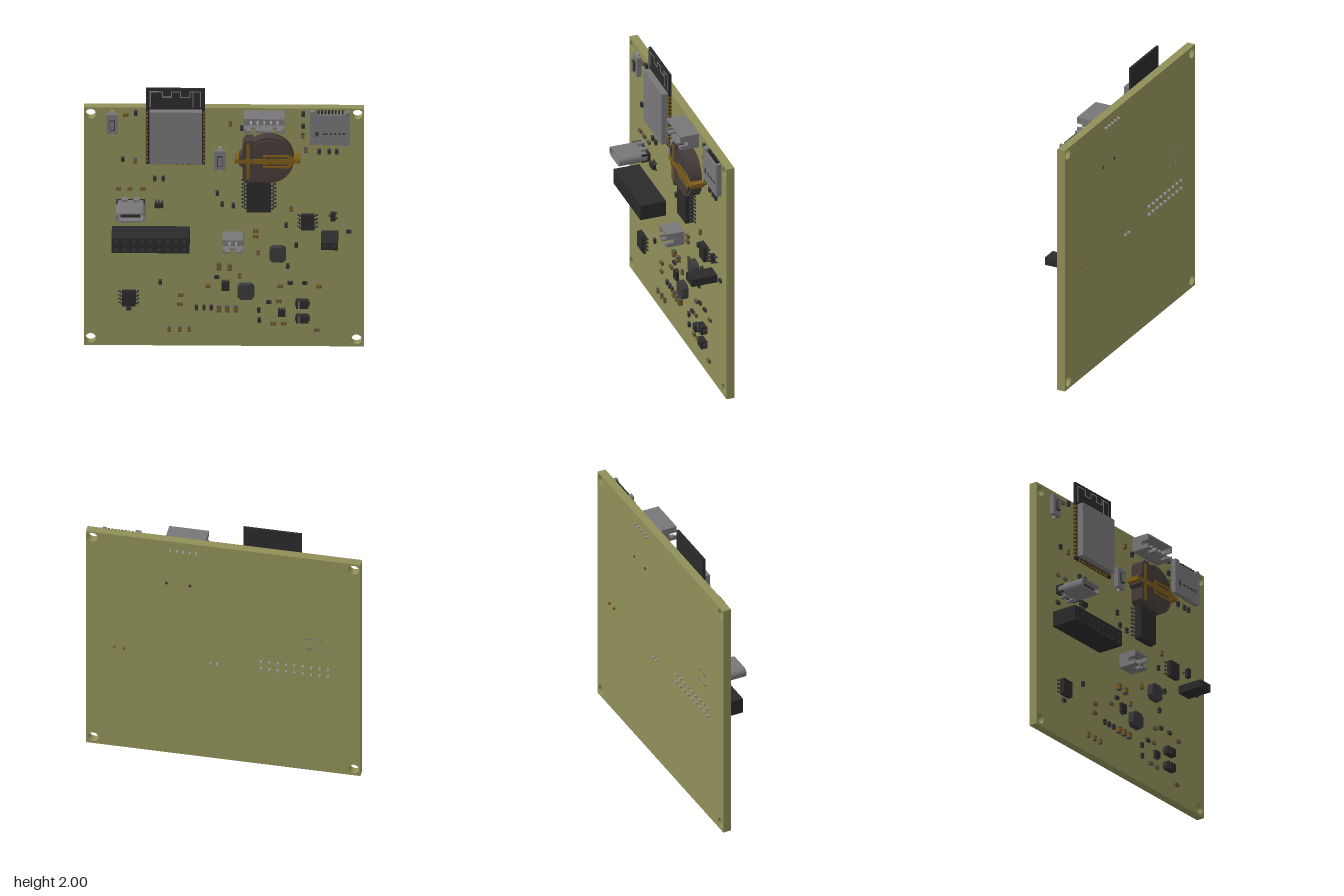
import * as THREE from 'three';
import { mergeGeometries } from 'three/addons/utils/BufferGeometryUtils.js';

const FRONT = -0.075, BACK = -0.135;   // board faces
const paint = {};
const mat = (c) => (paint[c] ??= new THREE.MeshStandardMaterial({ color: c, flatShading: true, side: THREE.DoubleSide }));
const OLIVE = 0x8f8f59, BLACK = 0x2a2a2a, DARK = 0x3a3a3c, GREY = 0x77777a, GOLD = 0x7d5c18, BROWN = 0x453c38, PALE = 0x9a9a9a;

// box centred on x, y and spanning z0..z1
const box = (x, y, w, h, z0, z1) => new THREE.BoxGeometry(w, h, z1 - z0).translate(x, y, (z0 + z1) / 2);

function prism(shape, z0, z1, curveSegments = 12) {
  return new THREE.ExtrudeGeometry(shape, { depth: z1 - z0, bevelEnabled: false, curveSegments }).translate(0, 0, z0);
}
const poly = (pts) => new THREE.Shape(pts.map(([x, y]) => new THREE.Vector2(x, y)));

// rectangle with rounded corners
function slot(S, x, y, w, h, r) {
  const s = new S(), a = w / 2 - r, b = h / 2 - r;
  s.absarc(x + a, y + b, r, 0, Math.PI / 2);
  s.absarc(x - a, y + b, r, Math.PI / 2, Math.PI);
  s.absarc(x - a, y - b, r, Math.PI, Math.PI * 1.5);
  s.absarc(x + a, y - b, r, Math.PI * 1.5, Math.PI * 2);
  s.closePath();
  return s;
}

export function createModel() {
  const model = new THREE.Group();
  const part = (name, color, geos, parent = model) => {
    const list = [].concat(geos).map((g) => (g.index ? g.toNonIndexed() : g));
    const mesh = new THREE.Mesh(mergeGeometries(list), mat(color));
    mesh.name = name;
    parent.add(mesh);
  };
  const group = (name) => {
    const g = new THREE.Group();
    g.name = name;
    model.add(g);
    return g;
  };

  // board with four mounting holes
  const outline = poly([[-0.97, 0], [0.97, 0], [0.97, 1.845], [-0.97, 1.845]]);
  for (const [x, y] of [[-0.923, 1.795], [0.925, 1.8], [-0.923, 0.055], [0.917, 0.055]]) {
    const hole = new THREE.Path();
    hole.absarc(x, y, 0.037, 0, Math.PI * 2, true);
    outline.holes.push(hole);
  }
  part('circuitBoard', OLIVE, prism(outline, BACK, FRONT, 20));

  // radio module: carrier, shield, edge pads and meander antenna
  const radio = group('radioModule');
  part('carrier', BLACK, box(-0.335, 1.708, 0.41, 0.585, FRONT, -0.058), radio);
  part('shield', GREY, box(-0.333, 1.64, 0.365, 0.4, -0.058, -0.01), radio);
  const pads = [];
  for (let i = 0; i < 14; i++) for (const x of [-0.535, -0.135]) pads.push(box(x, 1.44 + i * 0.029, 0.017, 0.015, FRONT, -0.055));
  for (let i = 0; i < 10; i++) pads.push(box(-0.49 + i * 0.034, 1.421, 0.017, 0.017, FRONT, -0.055));
  part('edgePads', GOLD, pads, radio);
  const trace = [[-0.51, 1.86], [-0.51, 1.977], [-0.425, 1.977], [-0.425, 1.935], [-0.362, 1.935], [-0.362, 1.977], [-0.3, 1.977],
    [-0.3, 1.935], [-0.235, 1.935], [-0.235, 1.977], [-0.162, 1.977], [-0.162, 1.86]];
  const segs = trace.slice(1).map(([x, y], i) => {
    const [px, py] = trace[i];
    return box((x + px) / 2, (y + py) / 2, Math.abs(x - px) + 0.008, Math.abs(y - py) + 0.008, -0.06, -0.056);
  });
  segs.push(box(-0.215, 1.918, 0.008, 0.118, -0.06, -0.056));
  part('antenna', GREY, segs, radio);

  // push buttons
  for (const [x, y] of [[-0.773, 1.728], [-0.028, 1.45]]) {
    const b = group('pushButton');
    part('buttonBody', GREY, box(x, y, 0.082, 0.148, FRONT, -0.042), b);
    part('buttonLeads', PALE, box(x, y, 0.02, 0.19, FRONT, -0.062), b);
    part('buttonCap', DARK, box(x, y, 0.036, 0.075, -0.042, -0.022), b);
    part('buttonTop', GREY, box(x, y, 0.028, 0.065, -0.022, -0.02), b);
  }

  // shrouded wire connectors with notched end walls
  function wireConnector(x, y, w, h, pins, pitch) {
    const g = group('wireConnector'), t = 0.013, top = 0.06;
    const walls = [box(x, y, w, h, FRONT, -0.03), box(x, y + h / 2 - t / 2, w, t, -0.03, top)];
    for (const s of [-1, 1]) {
      const ex = x + s * (w / 2 - t / 2);
      walls.push(box(ex, y, t, h, -0.03, 0.005), box(ex, y + h * 0.28, t, h * 0.44, 0.005, top), box(ex, y - h * 0.36, t, h * 0.28, 0.005, top));
      walls.push(box(x + s * (w / 2 - 0.025), y - h / 2 + t / 2, 0.05, t, -0.03, top));
    }
    walls.push(box(x, y - h / 2 + t / 2, w, t, -0.03, 0.005));
    if (pins > 2) walls.push(box(x, y - h / 2 + t / 2, w - 0.16, t, 0, top));
    part('shroud', GREY, walls, g);
    const rods = [];
    for (let i = 0; i < pins; i++) rods.push(box(x + (i - (pins - 1) / 2) * pitch, y - 0.004, 0.012, 0.012, -0.155, 0.03));
    part('pins', PALE, rods, g);
  }
  wireConnector(0.28, 1.775, 0.28, 0.106, 5, 0.046);
  wireConnector(0.063, 0.835, 0.142, 0.104, 2, 0.046);

  // memory card slot
  const card = group('cardSlot');
  part('cardShell', GREY, prism(poly([[0.595, 1.58], [0.715, 1.58], [0.73, 1.575], [0.868, 1.575], [0.868, 1.83], [0.845, 1.83], [0.835, 1.81],
    [0.645, 1.81], [0.635, 1.835], [0.595, 1.835]]), FRONT, -0.04), card);
  part('cardContacts', BLACK, Array.from({ length: 8 }, (_, i) => box(0.655 + i * 0.024, 1.818, 0.012, 0.032, FRONT, -0.055)), card);
  part('cardSprings', DARK, [box(0.645, 1.665, 0.018, 0.035, -0.041, -0.037), box(0.70, 1.665, 0.035, 0.01, -0.041, -0.037),
    box(0.74, 1.665, 0.012, 0.018, -0.041, -0.037), ...[0, 1, 2].map((i) => box(0.77 + i * 0.03, 1.667, 0.015, 0.015, -0.041, -0.037))], card);

  // coin cell holder with gold spring clips
  const cell = group('coinCellHolder');
  part('cellBody', BROWN, [
    new THREE.CylinderGeometry(0.175, 0.175, 0.08, 40).rotateX(Math.PI / 2).translate(0.31, 1.48, -0.035),
    new THREE.CylinderGeometry(0.155, 0.155, 0.015, 40).rotateX(Math.PI / 2).translate(0.31, 1.48, 0.0125),
    prism(poly([[0.155, 1.315], [0.205, 1.315], [0.205, 1.64], [0.155, 1.64], [0.13, 1.61], [0.13, 1.53], [0.105, 1.51],
      [0.105, 1.45], [0.13, 1.43], [0.13, 1.34]]), FRONT, 0.02),
  ], cell);
  const clip = poly([[0.2, 1.462], [0.27, 1.462], [0.27, 1.43], [0.45, 1.43], [0.49, 1.465], [0.53, 1.472], [0.53, 1.488], [0.49, 1.495],
    [0.45, 1.53], [0.27, 1.53], [0.27, 1.498], [0.2, 1.498]]);
  clip.holes.push(new THREE.Path([[0.29, 1.445], [0.44, 1.445], [0.44, 1.46], [0.29, 1.46]].map((p) => new THREE.Vector2(...p))),
    new THREE.Path([[0.29, 1.5], [0.44, 1.5], [0.44, 1.515], [0.29, 1.515]].map((p) => new THREE.Vector2(...p))));
  part('cellClips', GOLD, [prism(clip, 0.016, 0.024), box(0.167, 1.48, 0.022, 0.28, 0.015, 0.024),
    box(0.135, 1.48, 0.12, 0.03, 0, 0.024), box(0.09, 1.48, 0.03, 0.03, FRONT, 0.01), box(0.505, 1.48, 0.05, 0.03, FRONT, 0.02)], cell);
  part('cellPosts', BROWN, [0.235, 0.4].map((x) => new THREE.CylinderGeometry(0.011, 0.011, 0.07, 12).rotateX(Math.PI / 2).translate(x, 1.48, -0.103)), cell);

  // chips with gull-wing leads; leads leave the left/right sides, or top/bottom when upright
  function chip(x, y, w, h, z, n, pitch, reach, upright = false, other = n) {
    const g = group('chip'), leads = [], mid = (FRONT + z) / 2;
    part('chipBody', BLACK, box(x, y, w, h, FRONT + 0.006, z), g);
    for (const s of [-1, 1]) {
      const count = s > 0 ? n : other, half = (upright ? h : w) / 2;
      for (let i = 0; i < count; i++) {
        const o = (i - (count - 1) / 2) * (count < n ? pitch * 2 : pitch);
        const bits = [[half + reach * 0.2, reach * 0.4, mid - 0.003, mid + 0.004], [half + reach * 0.4, reach * 0.2, FRONT, mid + 0.004],
          [half + reach * 0.7, reach * 0.6, FRONT, FRONT + 0.008]];
        for (const [d, l, z0, z1] of bits)
          leads.push(upright ? box(x + o, y + s * d, 0.011, l, z0, z1) : box(x + s * d, y + o, l, 0.011, z0, z1));
      }
    }
    part('chipLeads', DARK, leads, g);
  }
  chip(0.242, 1.186, 0.17, 0.238, -0.01, 8, 0.029, 0.037);
  chip(0.58, 0.976, 0.095, 0.116, -0.033, 4, 0.029, 0.023);
  chip(-0.658, 0.378, 0.095, 0.116, -0.033, 4, 0.029, 0.023);
  chip(0.755, 1.018, 0.032, 0.065, -0.04, 2, 0.042, 0.016, false, 1);
  chip(-0.45, 1.098, 0.064, 0.03, -0.04, 3, 0.022, 0.017, true);
  for (const [x, y, w, h] of [[0.01, 0.474, 0.056, 0.066], [0.4, 0.267, 0.05, 0.05]]) chip(x, y, w, h, -0.045, 3, 0.018, 0.006, true);

  // pin sockets with through pins
  function socket(x, y, w, h, cols, rows, pitch, pinColor) {
    const g = group('pinSocket'), s = poly([[x - w / 2, y - h / 2], [x + w / 2, y - h / 2], [x + w / 2, y + h / 2], [x - w / 2, y + h / 2]]);
    const pins = [];
    for (let i = 0; i < cols; i++) for (let j = 0; j < rows; j++) {
      const px = x + (i - (cols - 1) / 2) * pitch, py = y + (j - (rows - 1) / 2) * 0.06;
      s.holes.push(new THREE.Path([[-1, -1], [-1, 1], [1, 1], [1, -1]].map(([a, b]) => new THREE.Vector2(px + a * 0.011, py + b * 0.011))));
      pins.push(box(px, py, 0.014, 0.014, -0.153, -0.06));
    }
    part('socketBody', BLACK, [prism(s, -0.05, 0.115), box(x, y, w, h, FRONT, -0.05)], g);
    part('socketPins', pinColor, pins, g);
  }
  socket(-0.506, 0.868, 0.54, 0.114, 9, 2, 0.059, PALE);
  socket(0.733, 0.87, 0.118, 0.056, 2, 1, 0.07, GOLD);

  // upright charging port: rounded shell, tongue and anchor tabs
  const port = group('chargingPort');
  const shell = slot(THREE.Shape, -0.645, 1.105, 0.205, 0.07, 0.03);
  shell.holes.push(slot(THREE.Path, -0.645, 1.105, 0.185, 0.05, 0.022));
  part('portShell', GREY, prism(shell, -0.05, 0.155), port);
  part('portCore', BLACK, [box(-0.645, 1.105, 0.2, 0.06, FRONT, -0.01), box(-0.645, 1.105, 0.14, 0.018, -0.01, 0.13)], port);
  const tabs = [];
  for (const x of [-0.685, -0.605]) for (const s of [-1, 1])
    tabs.push(box(x, 1.105 + s * 0.043, 0.03, 0.014, -0.142, -0.03), box(x, 1.105 + s * 0.038, 0.045, 0.02, -0.05, -0.02));
  part('portTabs', GREY, tabs, port);

  // power inductors: chamfered blocks on a thin base
  for (const [x, y] of [[0.373, 0.727], [0.152, 0.435]]) {
    const a = 0.058, c = 0.034;
    const s = poly([[a, -c], [a, c], [c, a], [-c, a], [-a, c], [-a, -c], [-c, -a], [c, -a]].map(([u, v]) => [x + u, y + v]));
    part('inductor', DARK, [prism(s, FRONT, -0.03), box(x, y, 0.1, 0.1, FRONT, -0.066)]);
  }

  // power diodes
  for (const y of [0.34, 0.225]) {
    const g = group('diode');
    part('diodeBody', BLACK, box(0.543, y, 0.086, 0.056, FRONT, -0.03), g);
    part('diodeEnds', DARK, [box(0.497, y, 0.012, 0.03, FRONT, -0.045), box(0.589, y, 0.012, 0.03, FRONT, -0.045)], g);
    part('diodeBand', GREY, box(0.518, y, 0.008, 0.056, -0.031, -0.029), g);
  }

  // small two-terminal parts: dark resistors and gold capacitors
  function passives(name, color, upright, spots, l = 0.037, w = 0.024, z = -0.058) {
    const cores = [], caps = [];
    for (const [x, y] of spots) {
      const b = (o, len, wid, top) => (upright ? box(x, y + o, wid, len, FRONT, top) : box(x + o, y, len, wid, FRONT, top));
      cores.push(b(0, l * 0.5, w * 0.96, z - 0.001));
      caps.push(b(l * 0.375, l * 0.25, w, z), b(-l * 0.375, l * 0.25, w, z));
    }
    const g = group(name);
    part('bodies', color, cores, g);
    part('terminals', color === BLACK ? DARK : 0x55534c, caps, g);
  }
  passives('resistorsAcross', BLACK, false, [[-0.73, 1.01], [0.865, 0.897], [0.46, 0.495], [0.56, 0.495], [-0.05, 0.537], [-0.66, 0.29], [0.31, 0.346]]);
  passives('capacitorsAcross', GOLD, false, [[-0.68, 1.79], [-0.73, 1.22], [-0.65, 1.22], [-0.56, 1.22], [0.22, 0.897], [0.22, 0.855], [0.66, 0.467],
    [0.39, 0.468], [-0.11, 0.468], [-0.3, 0.395], [-0.305, 0.325], [0.38, 0.352], [0.342, 0.18], [0.415, 0.18], [0.643, 0.13]]);
  passives('resistorsUpright', BLACK, true, [[-0.61, 1.807], [-0.7, 1.447], [-0.48, 1.299], [-0.42, 1.299], [-0.045, 1.188], [-0.013, 1.103],
    [0.066, 1.093], [0.125, 1.695], [0.548, 1.805], [0.548, 1.711], [0.66, 1.516], [0.73, 1.516], [0.78, 1.516], [0.43, 0.943], [0.5, 0.79],
    [0.443, 0.625], [-0.442, 0.495], [-0.19, 0.3], [-0.138, 0.3], [-0.087, 0.3], [0.242, 0.284], [0.245, 0.204]]);
  passives('capacitorsUpright', GOLD, true, [[-0.615, 1.437], [0.045, 1.727], [0.546, 1.64], [0.568, 1.527], [0.467, 1.067], [0.236, 0.727],
    [0.108, 0.548], [-0.378, 0.13], [-0.305, 0.13], [-0.24, 0.13]]);
  passives('largeCapacitors', GOLD, true, [[-0.034, 0.622], [0.04, 0.617], [-0.034, 0.294], [0.024, 0.294], [0.082, 0.294]], 0.044, 0.032, -0.045);

  return model;
}
